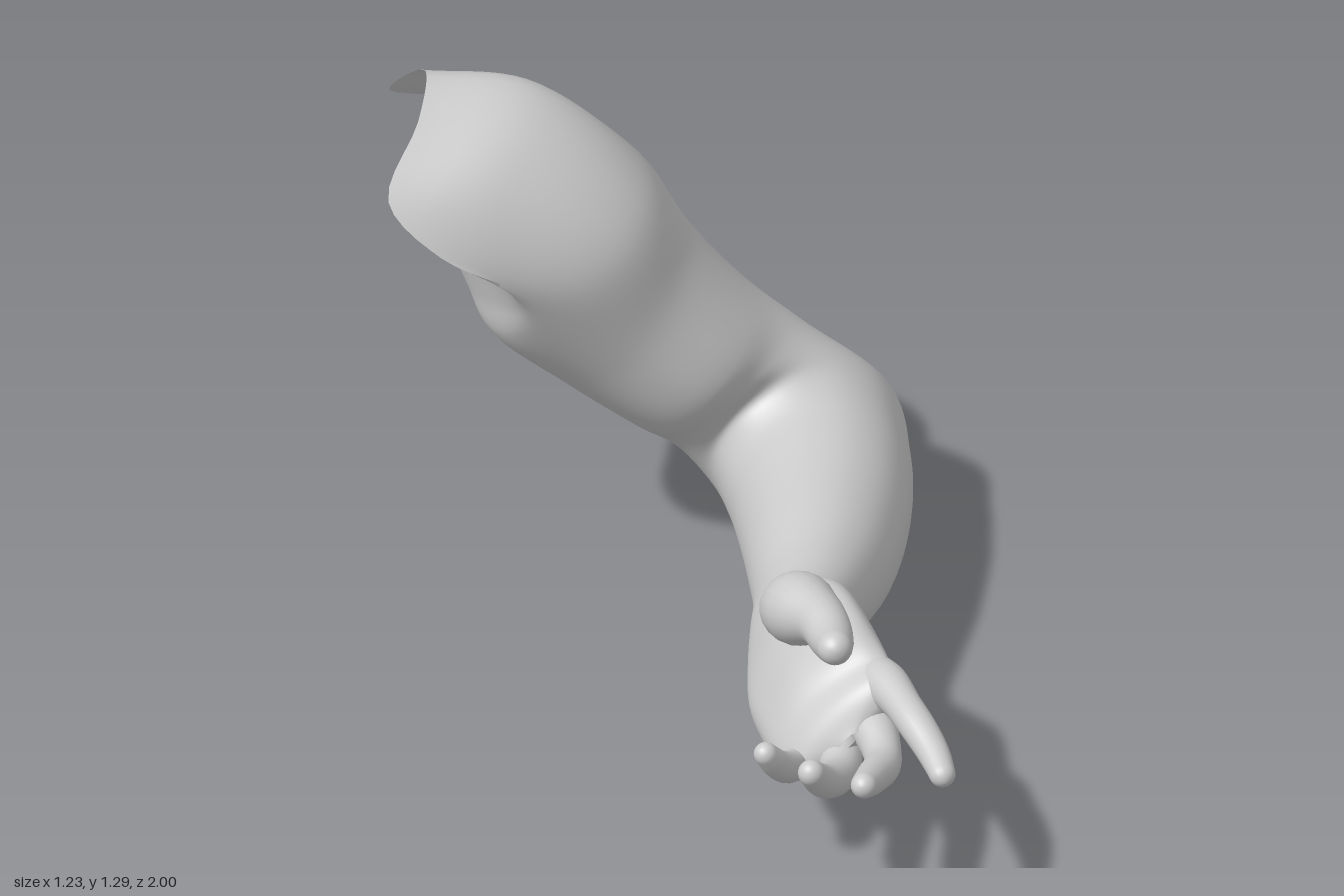
import * as THREE from 'three';

const V = (p) => new THREE.Vector3(...p);
const skin = new THREE.MeshStandardMaterial({ color: 0xcccccc, side: THREE.DoubleSide });

// Skin a grid of closed rings (each an array of Vector3) into a smooth surface.
function skinRings(rings) {
  const n = rings[0].length, index = [];
  for (let i = 0; i < rings.length - 1; i++) {
    for (let j = 0; j < n; j++) {
      const a = i * n + j, b = i * n + (j + 1) % n;
      index.push(a, b, a + n, b, b + n, a + n);
    }
  }
  const geo = new THREE.BufferGeometry().setFromPoints(rings.flat());
  geo.setIndex(index);
  geo.computeVertexNormals();
  return geo;
}

// Twelve-point elliptical section at (x, y, z). Its width lies along the elbow's
// hinge axis; its depth swings about that axis by the bend in degrees.
// The pad lifts the side where the thumb muscle sits.
function section(x, y, z, width, depth, bend = 90, pad = 0) {
  const s = Math.sin(bend * Math.PI / 180), c = Math.cos(bend * Math.PI / 180);
  const across = V([0.69, 0.72, 0]), inward = V([-0.69 * s, 0.72 * s, c]);
  return Array.from({ length: 12 }, (_, k) => {
    const t = k * Math.PI / 6;
    const p = V([x, y, z]).addScaledVector(across, width * Math.cos(t))
      .addScaledVector(inward, depth * Math.sin(t));
    p.y += pad * Math.max(0, Math.cos(t - 0.95)) ** 3;
    return p;
  });
}

// Smooth the control sections along the limb and around it.
function loft(sections, steps, sides) {
  const rails = sections[0].map((_, k) =>
    new THREE.CatmullRomCurve3(sections.map((s) => s[k])));
  const rings = [];
  for (let i = 0; i <= steps; i++) {
    const loop = new THREE.CatmullRomCurve3(rails.map((r) => r.getPoint(i / steps)), true);
    rings.push(Array.from({ length: sides }, (_, j) => loop.getPoint(j / sides)));
  }
  return skinRings(rings);
}

// Tapered digit with a rounded tip, following a curve.
function digit(points, radii) {
  const path = new THREE.CatmullRomCurve3(points.map(V));
  const steps = 36, sides = 20, rings = [];
  const radius = new THREE.SplineCurve(radii.map((r, i) => new THREE.Vector2(i, r)));
  const { normals, binormals } = path.computeFrenetFrames(steps);
  const tipStart = 1 - radii[radii.length - 1] / path.getLength();
  for (let i = 0; i <= steps; i++) {
    // samples bunch up towards the tip
    const u = Math.sin(i / steps * Math.PI / 2);
    const e = Math.max(0, (u - tipStart) / (1 - tipStart));
    const r = radius.getPoint(u).y * Math.sqrt(Math.max(0.0001, 1 - e * e));
    const f = Math.round(u * steps), c = path.getPointAt(u);
    rings.push(Array.from({ length: sides }, (_, j) => {
      const t = j / sides * Math.PI * 2;
      return c.clone().addScaledVector(normals[f], r * Math.cos(t))
        .addScaledVector(binormals[f], r * Math.sin(t));
    }));
  }
  return skinRings(rings);
}

export function createModel() {
  const model = new THREE.Group();
  model.name = 'bentArm';
  const add = (name, geo) => {
    const mesh = new THREE.Mesh(geo, skin);
    mesh.name = name;
    model.add(mesh);
  };

  // Open shoulder edge: top, front, armpit, back
  const shoulderEdge = [
    [-.49, 1.3, -.77], [-.53, 1.255, -.62], [-.62, 1.14, -.47], [-.51, 1.02, -.41],
    [-.36, .92, -.44], [-.41, .88, -.62], [-.43, .82, -.8], [-.4, .85, -.91],
    [-.3, .95, -.96], [-.2, 1.04, -.97], [-.38, 1.11, -.96], [-.55, 1.17, -.915],
  ].map(V);

  // The shoulder swells upwards halfway between its edge and the upper arm
  const upperArm = section(-.185, .865, -.715, .263, .265, 0);
  const shoulder = shoulderEdge.map((p, k) => {
    const mid = p.clone().lerp(upperArm[k], 0.5);
    mid.y += 0.085 * Math.sqrt(Math.max(0, Math.cos(k * Math.PI / 6)));
    return mid;
  });

  // Upper arm, elbow, forearm, wrist and palm as one continuous skin
  add('armAndPalm', loft([
    shoulderEdge,
    shoulder,
    upperArm,
    section(-.04, .675, -.75, .23, .24, 0),
    section(.115, .515, -.77, .205, .228, 0),
    section(.23, .41, -.79, .2, .222, 22),
    section(.37, .27, -.77, .226, .283, 56),
    section(.385, .24, -.63, .219, .24, 73),
    section(.37, .245, -.45, .205, .206),
    section(.328, .265, -.2, .173, .177),
    section(.277, .295, 0, .14, .14),
    section(.215, .345, .2, .119, .112),
    section(.205, .365, .3, .141, .107, 90, .04),
    section(.205, .36, .42, .173, .101, 90, .1),
    section(.22, .345, .5, .18, .094, 90, .08),
    section(.235, .335, .58, .18, .075),
    section(.25, .33, .65, .16, .054),
    section(.255, .325, .69, .03, .01),
  ], 140, 60));

  // Thumb growing out of its fleshy base, and the four curled fingers
  add('thumb', digit(
    [[.2, .43, .3], [.175, .5, .38], [.18, .55, .47], [.21, .575, .57], [.22, .575, .66], [.215, .6, .755]],
    [.05, .075, .085, .062, .05, .036]));
  const fingers = {
    indexFinger: [[.29, .39, .46], [.345, .425, .61], [.385, .415, .75], [.42, .38, .86], [.435, .352, .955]],
    middleFinger: [[.27, .35, .48], [.315, .335, .65], [.32, .315, .77], [.28, .34, .88], [.235, .385, 1]],
    ringFinger: [[.22, .3, .48], [.24, .27, .63], [.225, .268, .73], [.175, .31, .83], [.125, .39, .91]],
    littleFinger: [[.175, .265, .44], [.16, .24, .57], [.13, .25, .65], [.09, .295, .72], [.04, .37, .77]],
  };
  for (const [name, path] of Object.entries(fingers)) {
    const s = name === 'littleFinger' ? 0.88 : 1;
    add(name, digit(path, [.045, .05, .052, .043, .041, .036, .028].map((r) => r * s)));
  }
  return model;
}
